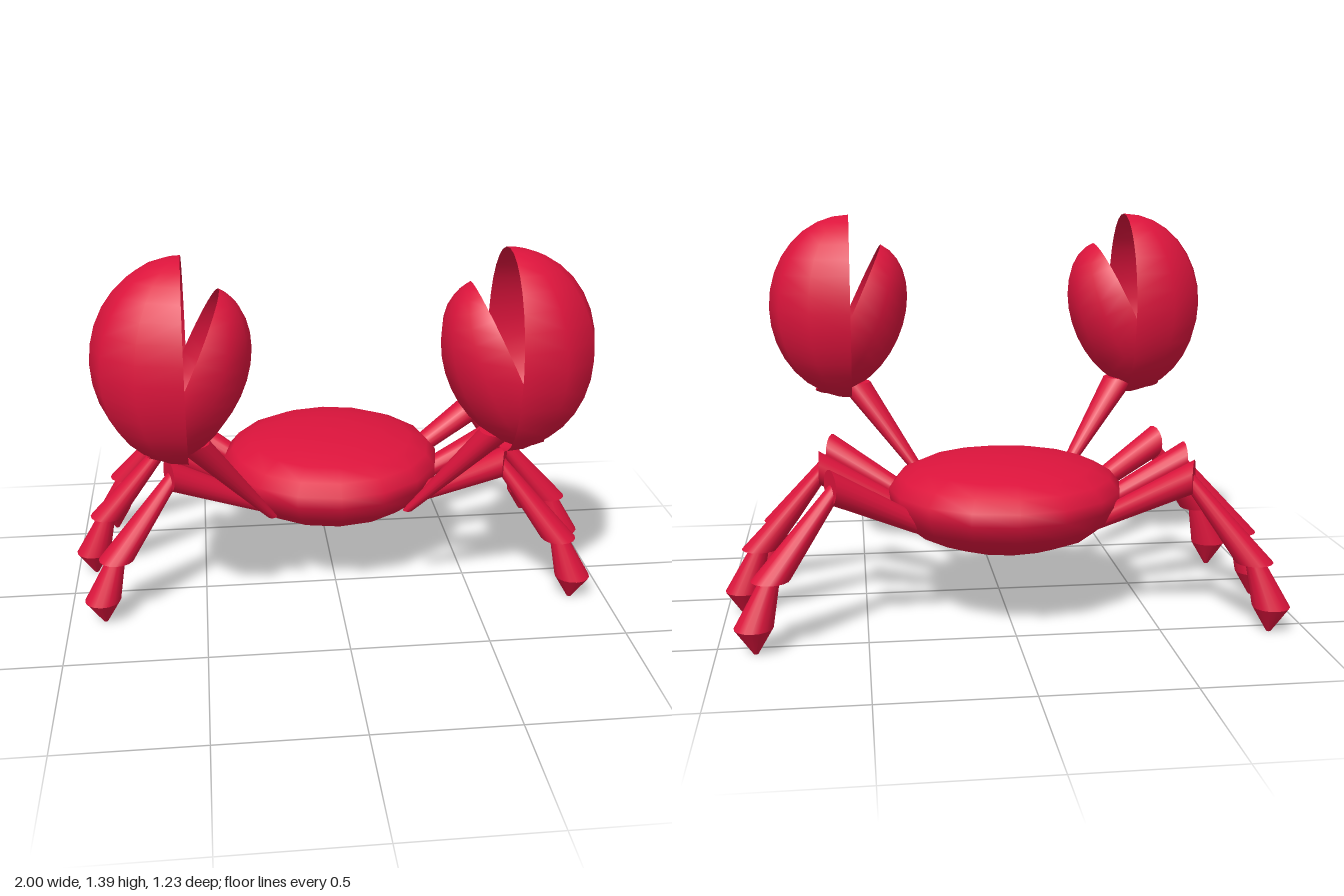
import * as THREE from 'three';

const material = new THREE.MeshStandardMaterial({ color: 0xdc143c, side: THREE.DoubleSide });

function add(parent, name, geometry) {
  const mesh = new THREE.Mesh(geometry, material);
  mesh.name = name;
  parent.add(mesh);
  return mesh;
}

// Sheared cone from a to b whose ends stay square to the given axis ('x' or 'y');
// b must lie further along that axis than a.
function slantedCone(a, b, ra, rb, axis = 'y') {
  const start = new THREE.Vector3(...a), end = new THREE.Vector3(...b);
  const across = axis === 'x' ? new THREE.Vector3(0, -1, 0) : new THREE.Vector3(1, 0, 0);
  const matrix = new THREE.Matrix4()
    .makeBasis(across, end.clone().sub(start), new THREE.Vector3(0, 0, 1))
    .setPosition(start.add(end).multiplyScalar(0.5));
  return new THREE.CylinderGeometry(rb, ra, 1, 16).applyMatrix4(matrix);
}

// Open half of an ellipsoid, bulging towards +x (outer) or -x (inner)
function halfShell(rx, ry, rz, outer) {
  const phi = outer ? Math.PI / 2 : -Math.PI / 2;
  return new THREE.SphereGeometry(1, 6, 8 * 2, phi, Math.PI).scale(rx, ry, rz);
}

function createLeg(z, turn) {
  const leg = new THREE.Group();
  leg.name = 'leg';
  add(leg, 'upperLeg', slantedCone([0.29, 0.335, 0], [0.66, 0.53, 0], 0.033, 0.06, 'x'));
  add(leg, 'lowerLeg', slantedCone([0.873, 0.243, 0], [0.63, 0.54, 0], 0.065, 0.028));
  add(leg, 'footTop', slantedCone([0.935, 0.09, 0], [0.87, 0.26, 0], 0.065, 0.03));
  add(leg, 'footTip', slantedCone([0.93, 0, 0], [0.935, 0.09, 0], 0.008, 0.065));
  leg.position.z = z;
  leg.rotation.y = turn;
  return leg;
}

function createClawArm() {
  const arm = new THREE.Group();
  arm.name = 'clawArm';
  add(arm, 'arm', slantedCone([0.25, 0.37, 0.165], [0.53, 0.75, 0.345], 0.018, 0.065));
  // Large fixed half and smaller tilted half of the pincer
  add(arm, 'outerPincer', halfShell(0.31, 0.353, 0.262, true)).position.set(0.537, 1.042, 0.352);
  const inner = add(arm, 'innerPincer', halfShell(0.21, 0.31, 0.23, false));
  inner.position.set(0.547, 1.0, 0.352);
  inner.rotation.z = 0.435;
  return arm;
}

export function createModel() {
  const crab = new THREE.Group();
  crab.name = 'crab';

  // Flattened round shell
  const profile = [[0, 0.24], [0.12, 0.243], [0.22, 0.258], [0.32, 0.297], [0.385, 0.35], [0.415, 0.41],
    [0.415, 0.455], [0.38, 0.498], [0.31, 0.53], [0.2, 0.553], [0.1, 0.562], [0, 0.565]];
  const body = add(crab, 'body',
    new THREE.LatheGeometry(profile.map(([r, y]) => new THREE.Vector2(r, y)), 16));
  body.position.z = -0.19;

  // Limbs, mirrored across x = 0
  for (const side of [1, -1]) {
    const limbs = new THREE.Group();
    limbs.name = side > 0 ? 'leftLimbs' : 'rightLimbs';
    for (const k of [-1, 0, 1]) limbs.add(createLeg(-0.17 + 0.055 * k, -0.36 * k));
    limbs.add(createClawArm());
    limbs.scale.x = side;
    crab.add(limbs);
  }
  return crab;
}
